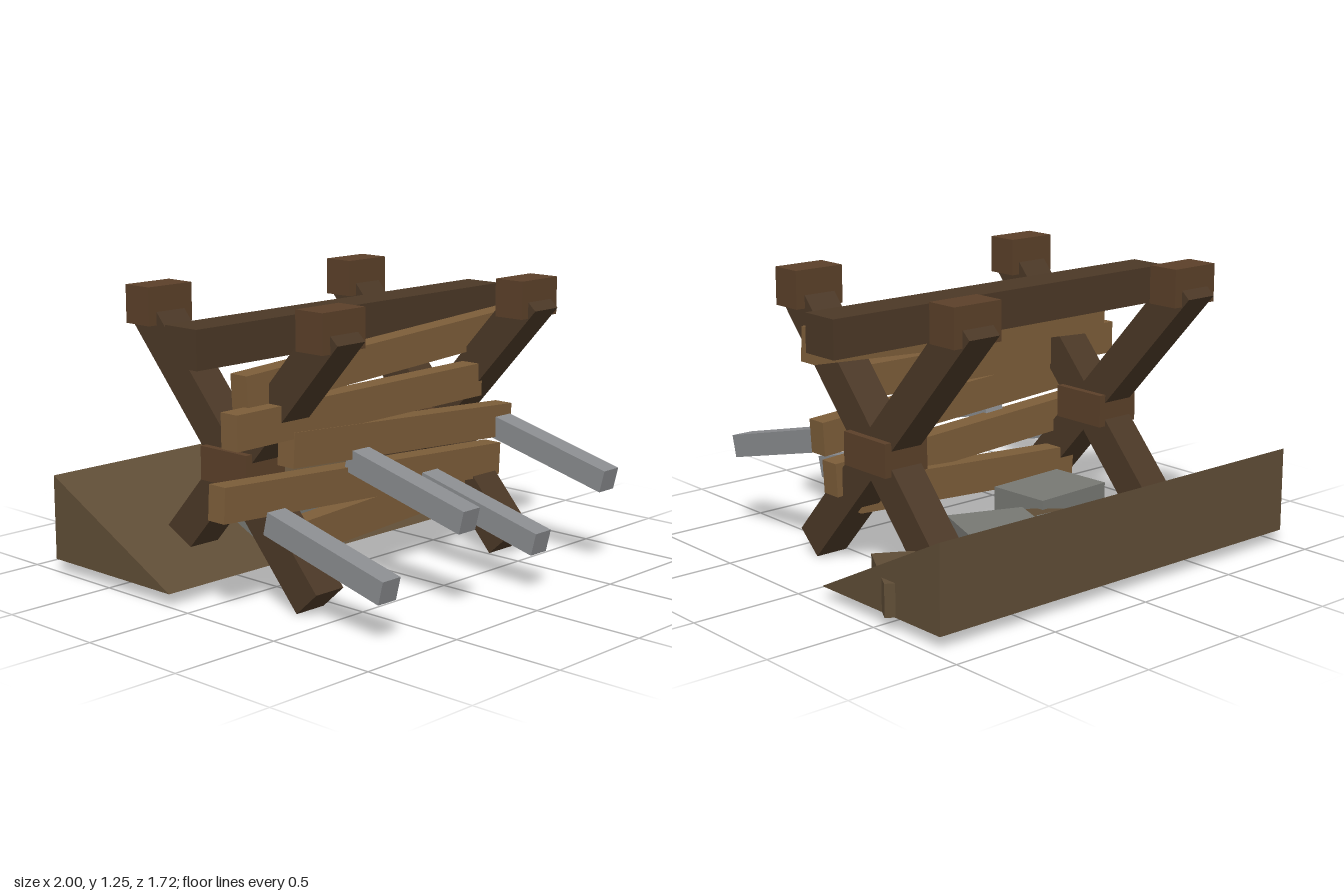
import * as THREE from 'three';

const mat = (color) => new THREE.MeshStandardMaterial({ color, flatShading: true });

export function createModel() {
  const group = new THREE.Group();
  const legWood = mat(0x4b3826), jointWood = mat(0x5b4029), plankWood = mat(0x7c5d39);
  const earth = mat(0x5f4d36), stone = mat(0x777873), metal = mat(0x8a8c8f);

  function box(name, material, size, pos, rot = [0, 0, 0]) {
    const mesh = new THREE.Mesh(new THREE.BoxGeometry(...size), material);
    mesh.name = name;
    mesh.position.set(...pos);
    mesh.rotation.set(...rot);
    group.add(mesh);
  }

  // Two crossed-leg trestles with a hub block and capped upper ends
  const crossZ = -0.0625, lean = Math.atan2(1.0135, 1.122);
  for (const x of [-0.628, 0.587]) {
    for (const s of [-1, 1]) {
      box('crossLeg', legWood, [0.155, 1.511, 0.152], [x, 0.6115, crossZ + s * 0.0605], [s * lean, 0, 0]);
      box('legCap', jointWood, [0.24, 0.165, 0.147], [x, 1.168, crossZ + s * 0.511]);
    }
    box('hubBlock', jointWood, [0.22, 0.145, 0.275], [x, 0.547, crossZ]);
  }

  // Top rail
  box('topRail', legWood, [1.865, 0.165, 0.185], [-0.022, 1.073, -0.0625]);

  // Crooked planks: left x, left centre y, right x, right centre y, centre z
  const planks = [
    [-0.823, 0.899, 0.826, 0.991, 0.133],
    [-0.945, 0.77, 0.533, 0.783, 0.203],
    [-0.64, 0.653, 0.737, 0.571, 0.207],
    [-0.996, 0.486, 0.695, 0.39, 0.18],
    [-0.63, 0.238, 0.6, 0.312, 0.133],
  ];
  for (const [x0, y0, x1, y1, z] of planks) {
    const length = Math.hypot(x1 - x0, y1 - y0);
    box('plank', plankWood, [length, 0.147, 0.093],
      [(x0 + x1) / 2, (y0 + y1) / 2, z], [0, 0, Math.atan2(y1 - y0, x1 - x0)]);
  }

  // Square spikes sloping down to the front, in alternating heights
  const tilt = 0.245, len = 0.65;
  [-0.72, -0.252, 0.212, 0.68].forEach((x, i) => {
    const tipY = i % 2 ? 0.397 : 0.212;
    box('spike', metal, [0.1, 0.1, len],
      [x, tipY + Math.sin(tilt) * len / 2, 0.848 - Math.cos(tilt) * len / 2], [tilt, 0, 0]);
  });

  // Earth bank rising to the back
  const profile = new THREE.Shape();
  profile.moveTo(0.113, 0.055);
  profile.lineTo(0.857, 0.055);
  profile.lineTo(0.857, 0.428);
  profile.closePath();
  const bank = new THREE.Mesh(
    new THREE.ExtrudeGeometry(profile, { depth: 1.96, bevelEnabled: false }), earth);
  bank.name = 'earthBank';
  bank.rotation.y = Math.PI / 2;
  bank.position.x = -1;
  group.add(bank);

  // Stones and clods half buried in the bank
  box('stone', stone, [0.39, 0.23, 0.29], [-0.175, 0.173, -0.245], [0, 0.055, 0]);
  box('stone', stone, [0.34, 0.195, 0.266], [0.268, 0.157, -0.39], [0, -0.365, 0]);
  box('stone', stone, [0.24, 0.15, 0.15], [-0.01, 0.182, -0.545], [0, -0.1, 0]);
  box('clod', earth, [0.36, 0.14, 0.365], [0.75, 0.127, -0.5], [0, -0.523, 0]);
  box('clod', earth, [0.4, 0.188, 0.3], [0.01, 0.154, -0.57], [0, -0.68, 0]);

  return group;
}
